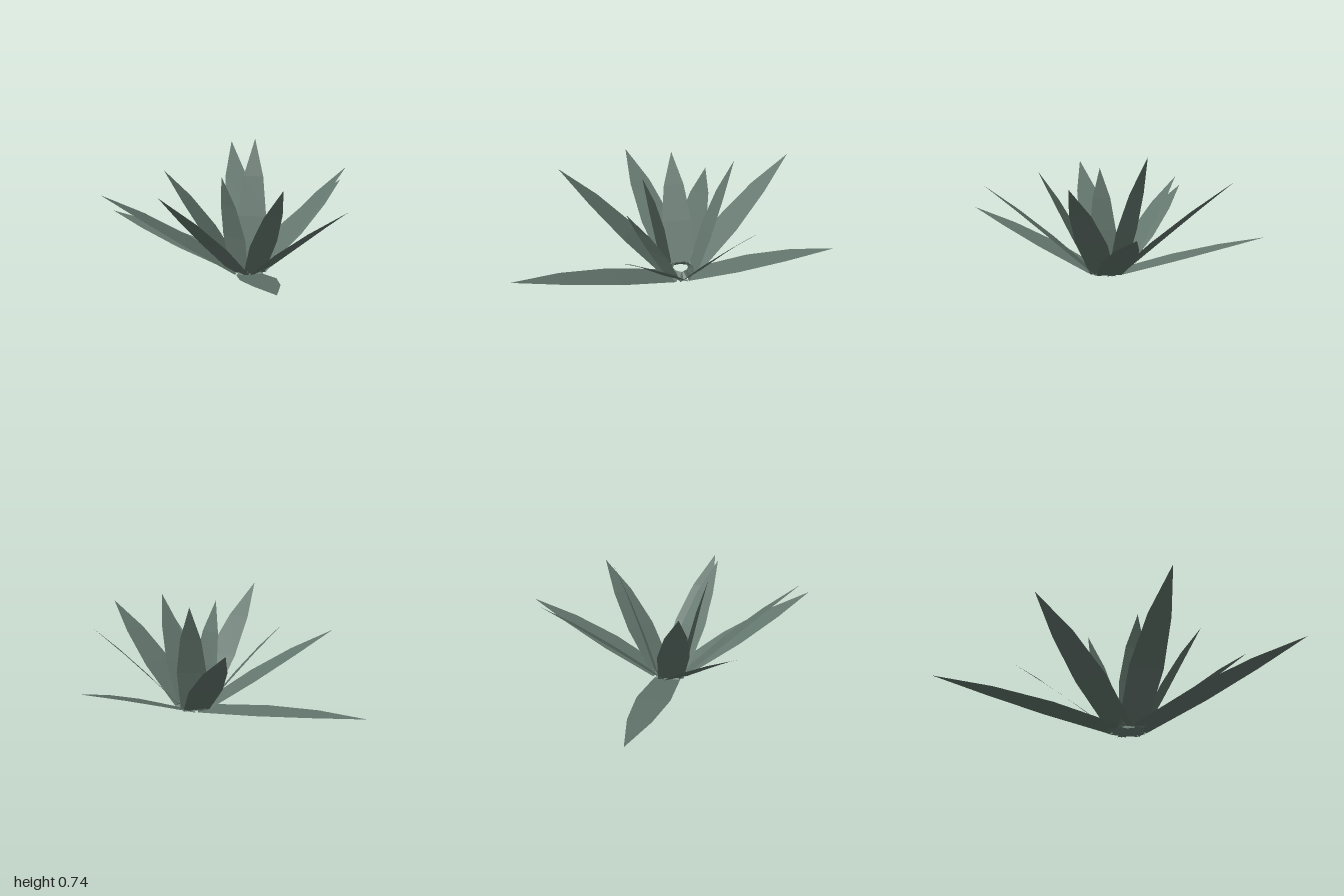
import * as THREE from 'three';

// Plant centre on the ground
const CX = 0.04, CZ = 0.09;

// Tip of each leaf: x, y, z, width scale
const LEAVES = [
  // low outer leaves
  [-0.16, 0.365, -0.82, 0.97], [0.99, 0.345, 0.59, 1], [-1.0, 0.165, 0.49, 0.97],
  // middle leaves
  [0.21, 0.585, -0.52, 1], [0.78, 0.555, -0.02, 1.05], [0.275, 0.655, 0.8, 1],
  [-0.435, 0.485, 0.81, 1], [-0.69, 0.605, -0.28, 1],
  // upright inner leaves
  [0.48, 0.63, 0.165, 0.87], [0.1, 0.64, 0.31, 0.85], [-0.39, 0.58, 0.41, 0.95],
  [-0.21, 0.735, -0.14, 0.9],
];

// A flat blade running out along +z and rising to its tip
function bladeGeometry(reach, height, scale) {
  const r0 = 0.08;
  const length = Math.hypot(reach - r0, height);
  const ny = (reach - r0) / length, nz = -height / length;
  // fraction along the blade, half width, bulge off the straight line
  const sections = [[0, 0.082, 0], [0.38, 0.1, 0.01], [0.7, 0.068, 0.01], [1, 0, 0]];
  const rows = [[0.04, 0.035, 0.045]]; // half width, y, z of the tucked-in foot
  for (const [t, w, b] of sections) {
    rows.push([w * scale, height * t + b * ny, r0 + (reach - r0) * t + b * nz]);
  }
  const points = [];
  const corner = ([w, y, z], side) => points.push(w * side, y, z);
  for (let i = 0; i < rows.length - 1; i++) {
    const a = rows[i], b = rows[i + 1];
    corner(a, -1); corner(b, -1); corner(b, 1);
    if (b[0] > 0) { corner(a, -1); corner(b, 1); corner(a, 1); }
    else { points.splice(-9); corner(a, -1); corner(b, 1); corner(a, 1); }
  }
  const geometry = new THREE.BufferGeometry();
  geometry.setAttribute('position', new THREE.Float32BufferAttribute(points, 3));
  geometry.computeVertexNormals();
  return geometry;
}

export function createModel() {
  const group = new THREE.Group();
  group.name = 'agavePlant';
  const leafGreen = new THREE.MeshStandardMaterial({
    color: 0x63766d, flatShading: true, side: THREE.DoubleSide,
  });
  leafGreen.name = 'greyGreenLeaf';

  LEAVES.forEach(([x, y, z, scale], i) => {
    const dx = x - CX, dz = z - CZ;
    const leaf = new THREE.Mesh(bladeGeometry(Math.hypot(dx, dz), y, scale), leafGreen);
    leaf.name = `leaf${i + 1}`;
    leaf.position.set(CX, 0, CZ);
    leaf.rotation.y = Math.atan2(dx, dz);
    group.add(leaf);
  });
  return group;
}
